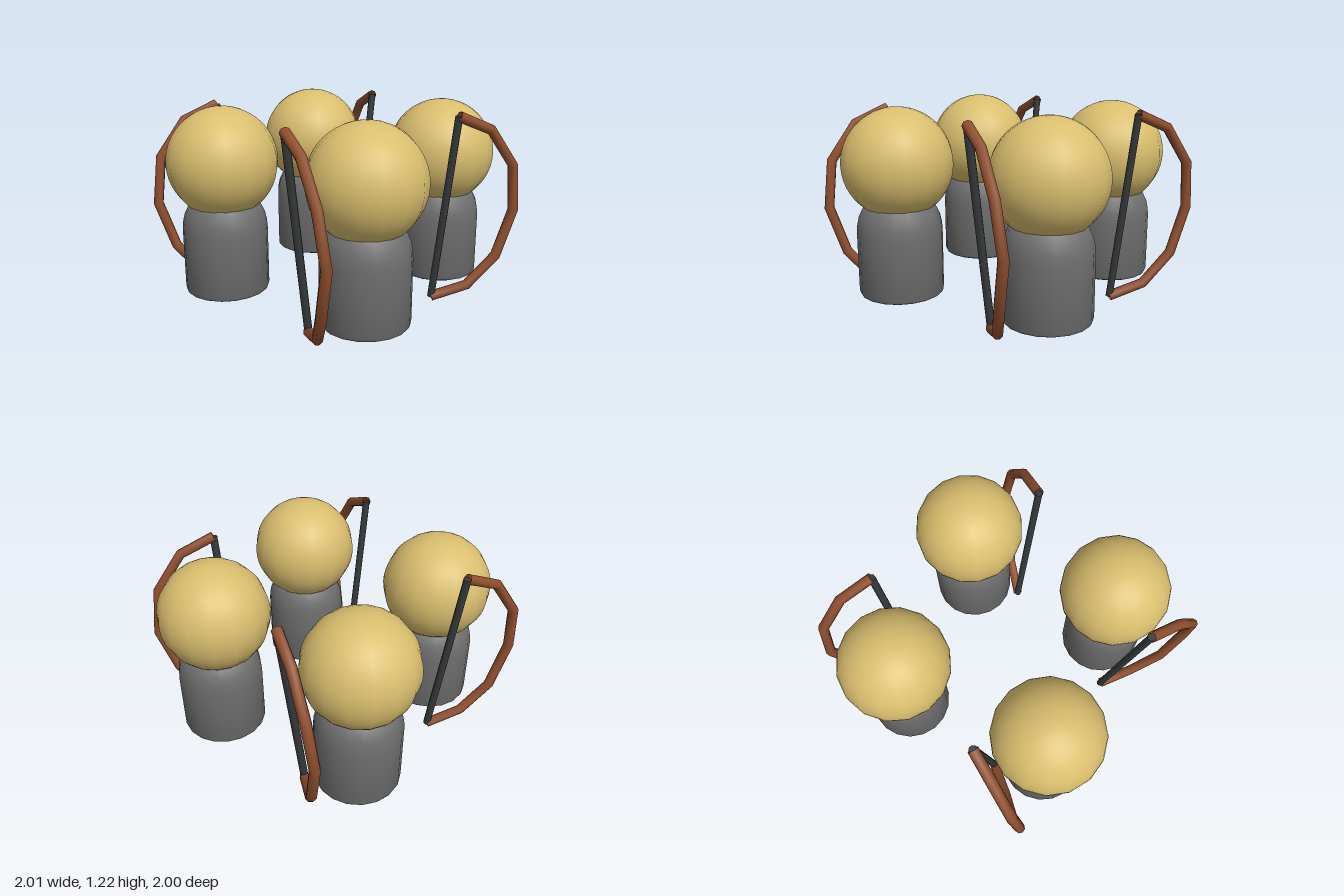
import * as THREE from 'three';
import { toCreasedNormals } from 'three/addons/utils/BufferGeometryUtils.js';

const paint = (color, side = THREE.FrontSide) => new THREE.MeshStandardMaterial({ color, side });
const V = (x, y, z) => new THREE.Vector3(x, y, z);

// Straight-sided path whose joints are mitred
class BentPath extends THREE.Curve {
  constructor(points) { super(); this.points = points; }
  getPoint(t, target = new THREE.Vector3()) {
    const n = this.points.length - 1;
    const i = Math.min(Math.floor(t * n + 1e-6), n - 1);
    return target.lerpVectors(this.points[i], this.points[i + 1], t * n - i);
  }
  getPointAt(t, target) { return this.getPoint(t, target); }
  getTangentAt(t, target = new THREE.Vector3()) {
    const d = 0.5 / (this.points.length - 1);
    return target.copy(this.getPoint(Math.min(1, t + d))).sub(this.getPoint(Math.max(0, t - d))).normalize();
  }
}

function rod(a, b, radius, material) {
  const dir = b.clone().sub(a);
  const mesh = new THREE.Mesh(new THREE.CylinderGeometry(radius, radius, dir.length(), 8), material);
  mesh.position.copy(a).add(b).multiplyScalar(0.5);
  mesh.quaternion.setFromUnitVectors(V(0, 1, 0), dir.normalize());
  return mesh;
}

export function createModel() {
  const model = new THREE.Group();
  model.name = 'archerSquad';

  const skin = paint(0xd9be6e);
  const cloth = paint(0x6e6e6e);
  const wood = paint(0x8f4f2e, THREE.DoubleSide);
  const cord = paint(0x363a3b);

  // Head: round ball
  const headGeo = new THREE.SphereGeometry(0.327, 16, 24);

  // Body: drum with small bottom bevel and rounded shoulders
  const profile = [
    [0, 0.1], [0.228, 0.1], [0.245, 0.108], [0.253, 0.125], [0.253, 0.48],
    [0.249, 0.53], [0.238, 0.58], [0.21, 0.637], [0.15, 0.68], [0, 0.7],
  ].map(([r, y]) => new THREE.Vector2(r, y));
  const bodyGeo = toCreasedNormals(new THREE.LatheGeometry(profile, 18), 0.6);

  // Bow stave, relative to the figure's own axis
  const c = 0.482;
  const stave = [
    [0.177, 1.172, 0.775], [0.352, 1.085, 0.89], [0.492, 0.865, 0.972], [0.54, 0.58, 0.97],
    [0.468, 0.29, 0.908], [0.362, 0.095, 0.778], [0.203, 0.03, 0.622],
  ].map(([x, y, z]) => V(x - c, y, z - c));
  const bowGeo = new THREE.TubeGeometry(new BentPath(stave), stave.length - 1, 0.031, 8);

  // Four figures, each a quarter turn on, two of them twisted slightly
  const twists = [0, -8, -4, 0];
  twists.forEach((twist, i) => {
    const turn = i * Math.PI / 2;
    const figure = new THREE.Group();
    figure.name = `figure${i + 1}`;
    figure.position.set(c, 0, c).applyAxisAngle(V(0, 1, 0), turn);
    figure.rotation.y = turn + THREE.MathUtils.degToRad(twist);

    const head = new THREE.Mesh(headGeo, skin);
    head.name = 'head';
    head.position.y = 0.89;

    const body = new THREE.Mesh(bodyGeo, cloth);
    body.name = 'body';

    const bow = new THREE.Mesh(bowGeo, wood);
    bow.name = 'bow';

    const string = rod(stave[stave.length - 1], stave[0], 0.023, cord);
    string.name = 'bowString';

    figure.add(head, body, bow, string);
    model.add(figure);
  });

  // Rest the bow tips on the ground
  const box = new THREE.Box3().setFromObject(model, true);
  model.children.forEach((figure) => { figure.position.y -= box.min.y; });
  return model;
}
